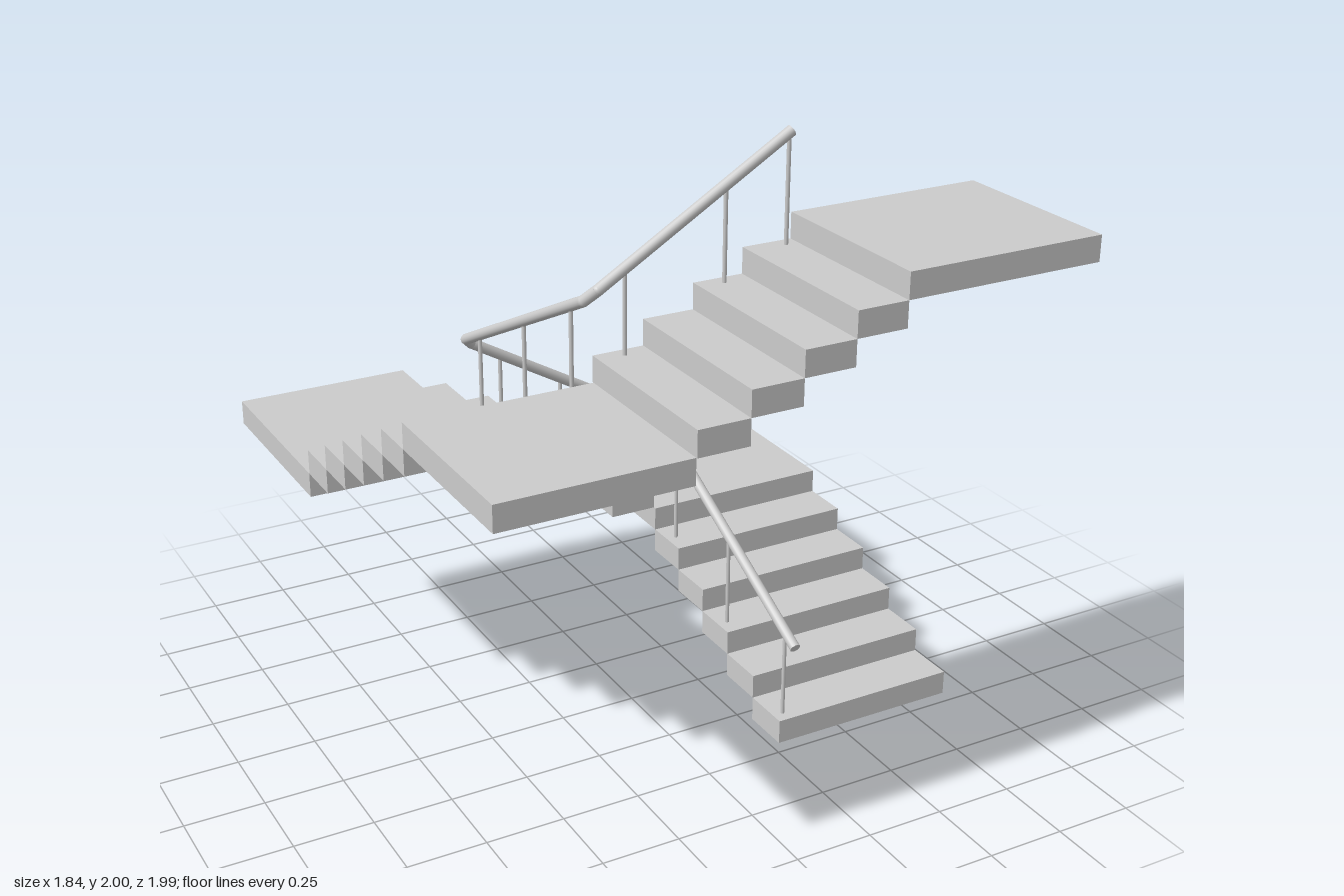
import * as THREE from 'three';

const RISE = 1.735 / 22; // 22 equal slabs from floor to top landing

export function createModel() {
  const model = new THREE.Group();
  model.name = 'staircase';
  const mat = new THREE.MeshStandardMaterial({ color: 0xcccccc });
  const V = (x, y, z) => new THREE.Vector3(x, y, z);

  const add = (parent, name, geometry) => {
    const mesh = new THREE.Mesh(geometry, mat);
    mesh.name = name;
    parent.add(mesh);
    return mesh;
  };

  // Slab number `level` spanning x0..x1, z0..z1
  let level = 0;
  const slab = (parent, name, x0, x1, z0, z1) => {
    const g = new THREE.BoxGeometry(Math.abs(x1 - x0), RISE, Math.abs(z1 - z0));
    add(parent, name, g).position.set((x0 + x1) / 2, (level + 0.5) * RISE, (z0 + z1) / 2);
    level++;
  };

  // Round bar between two points
  const bar = (parent, name, a, b, r, sides) => {
    const dir = b.clone().sub(a);
    const mesh = add(parent, name, new THREE.CylinderGeometry(r, r, dir.length(), sides));
    mesh.position.copy(a).add(b).multiplyScalar(0.5);
    mesh.quaternion.setFromUnitVectors(V(0, 1, 0), dir.normalize());
  };

  // Four flights around a rectangular well, each ending in a corner landing
  const flights = [
    { axis: 'z', from: 0.455, to: -0.35, n: 5, side: [0.28, 0.913], end: -0.995 },
    { axis: 'x', from: 0.28, to: -0.35, n: 4, side: [-0.995, -0.36], end: -0.92 },
    { axis: 'z', from: -0.357, to: 0.425, n: 5, side: [-0.92, -0.35], end: 0.99 },
    { axis: 'x', from: -0.35, to: 0.284, n: 4, side: [0.42, 0.995], end: 0.92 },
  ];
  flights.forEach(({ axis, from, to, n, side, end }, f) => {
    const flight = new THREE.Group();
    flight.name = `flight${f + 1}`;
    model.add(flight);
    const place = (name, a, b) => axis === 'x'
      ? slab(flight, name, a, b, ...side)
      : slab(flight, name, ...side, a, b);
    const run = (to - from) / n;
    for (let i = 0; i < n; i++) place('step', from + i * run, from + (i + 1) * run);
    place('landing', to, end);
  });

  // Handrail: straight runs with short chamfered corners
  const path = [
    V(0.315, 0.342, 0.475), V(0.315, 0.775, -0.375),
    V(0.288, 0.805, -0.402), V(-0.352, 1.172, -0.402),
    V(-0.38, 1.2, -0.375), V(-0.38, 1.585, 0.425),
    V(-0.352, 1.622, 0.458), V(0.253, 1.985, 0.458),
  ];
  const railing = new THREE.Group();
  railing.name = 'railing';
  model.add(railing);
  const R = 0.017;
  path.forEach((p, i) => {
    if (i === path.length - 1) return;
    bar(railing, 'handrail', p, path[i + 1], R, 16);
    if (i > 0) add(railing, 'railJoint', new THREE.SphereGeometry(R, 16, 10)).position.copy(p);
  });

  // Balusters: [position along the flight, slab they stand on]
  const posts = [
    [[0.415, 1], [0.07, 3], [-0.27, 5]],
    [[0.2, 7], [-0.045, 9], [-0.255, 10]],
    [[-0.27, 12], [0.045, 14], [0.35, 16]],
    [[-0.27, 18], [0.045, 20], [0.245, 21]],
  ];
  posts.forEach((list, f) => {
    const a = path[2 * f], b = path[2 * f + 1], axis = flights[f].axis;
    for (const [at, step] of list) {
      const top = a.clone().lerp(b, (at - a[axis]) / (b[axis] - a[axis]));
      bar(railing, 'baluster', V(top.x, step * RISE, top.z), top, 0.0065, 10);
    }
  });

  return model;
}
